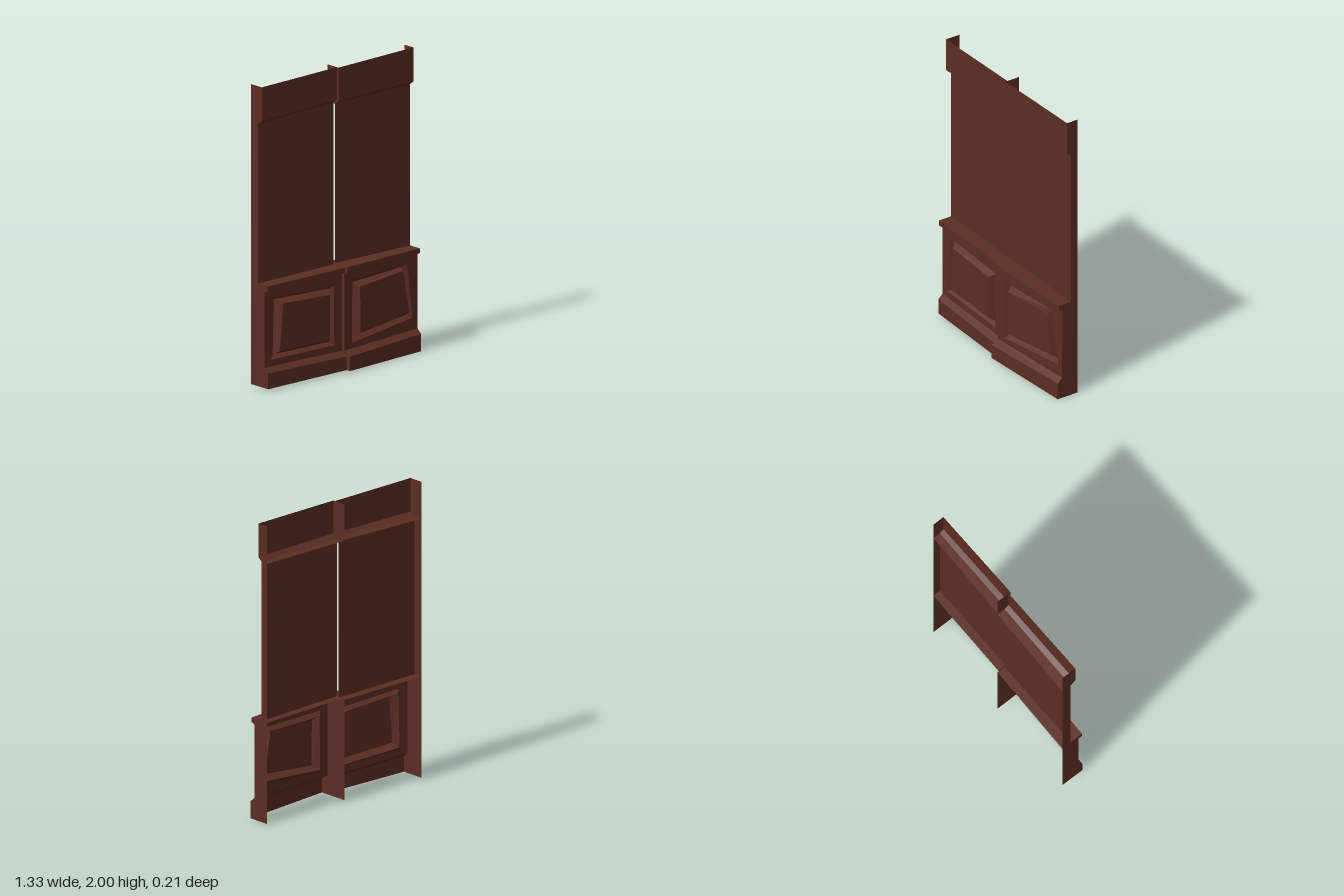
import * as THREE from 'three';

const wood = new THREE.MeshStandardMaterial({ color: 0x5c2d23, side: THREE.DoubleSide });
wood.name = 'dark red wood';
wood.flatShading = true;

// Mesh from four-cornered faces
function quadMesh(name, quads) {
  const pos = [];
  for (const [a, b, c, d] of quads) for (const p of [a, b, c, a, c, d]) pos.push(...p);
  const geo = new THREE.BufferGeometry();
  geo.setAttribute('position', new THREE.Float32BufferAttribute(pos, 3));
  geo.computeVertexNormals();
  const mesh = new THREE.Mesh(geo, wood);
  mesh.name = name;
  return mesh;
}

// Flat plate across the depth at x, running from the front profile to the back edge
function sidePlate(name, profile, back) {
  const x = profile[0][0];
  const pts = profile.map(([, y, z]) => new THREE.Vector2(z, y));
  pts.push(new THREE.Vector2(back, pts[pts.length - 1].y), new THREE.Vector2(back, pts[0].y));
  const geo = new THREE.ShapeGeometry(new THREE.Shape(pts)).toNonIndexed();
  const p = geo.attributes.position;
  for (let i = 0; i < p.count; i++) p.setXYZ(i, x, p.getY(i), p.getX(i));
  geo.computeVertexNormals();
  const mesh = new THREE.Mesh(geo, wood);
  mesh.name = name;
  return mesh;
}

// Front sheet between two profiles, listed left to right
function strip(name, A, B) {
  const quads = [];
  for (let i = 0; i + 1 < A.length; i++) quads.push([A[i], A[i + 1], B[i + 1], B[i]]);
  return quadMesh(name, quads);
}

// Each profile runs from the top down as [y, z]; the two ends are slightly crooked
const halves = [
  {
    name: 'left', x: [-0.663, 0], back: -0.108,
    ends: [
      [[2, -0.005], [1.775, -0.005], [1.75, -0.042], [0.69, -0.042], [0.69, 0.05], [0.655, 0.05],
        [0.645, 0.022], [0.145, 0.022], [0.115, 0.055], [0.01, 0.055]],
      [[2, -0.018], [1.785, -0.018], [1.762, -0.05], [0.685, -0.05], [0.685, 0.056], [0.65, 0.056],
        [0.64, 0.03], [0.13, 0.03], [0.1, 0.073], [0.01, 0.073]],
    ],
    // panel rings: opening, floor, raised field (corners TL, BL, BR, TR)
    rings: [
      [[-0.585, 0.595], [-0.61, 0.188], [-0.066, 0.178], [-0.071, 0.575]],
      [[-0.557, 0.574], [-0.57, 0.209], [-0.092, 0.2], [-0.092, 0.553]],
      [[-0.521, 0.548], [-0.547, 0.236], [-0.119, 0.228], [-0.119, 0.526]],
    ],
  },
  {
    name: 'right', x: [0, 0.663], back: -0.1,
    ends: [
      [[2, -0.003], [1.78, -0.003], [1.752, -0.038], [0.695, -0.038], [0.695, 0.083], [0.66, 0.083],
        [0.645, 0.055], [0.135, 0.055], [0.105, 0.105], [0.01, 0.105]],
      [[2, -0.018], [1.775, -0.018], [1.75, -0.048], [0.68, -0.048], [0.68, 0.046], [0.65, 0.046],
        [0.638, 0.02], [0.145, 0.02], [0.115, 0.055], [0, 0.055]],
    ],
    rings: [
      [[0.061, 0.59], [0.066, 0.172], [0.622, 0.225], [0.569, 0.595]],
      [[0.097, 0.563], [0.094, 0.203], [0.598, 0.247], [0.545, 0.572]],
      [[0.125, 0.537], [0.13, 0.23], [0.574, 0.277], [0.517, 0.56]],
    ],
  },
];

function buildHalf({ name, x, back, ends, rings }) {
  const g = new THREE.Group();
  g.name = name + 'WallSection';
  const [A, B] = ends.map((e, i) => e.map(([y, z]) => [x[i], y, z]));

  g.add(
    strip('upperBoard', A.slice(0, 3), B.slice(0, 3)),
    strip('middleBoard', A.slice(2, 4), B.slice(2, 4)),
    strip('chairRail', A.slice(3, 7), B.slice(3, 7)),
    strip('skirting', A.slice(7), B.slice(7)),
  );

  // Ledges closing the middle section above and below
  for (const [label, i] of [['upperLedge', 2], ['lowerLedge', 3]]) {
    const a = A[i], b = B[i];
    g.add(quadMesh(label, [[a, b, [b[0], b[1], back], [a[0], a[1], back]]]));
  }

  // Frame with a crooked sunk panel and a raised field
  const frameZ = (px) => THREE.MathUtils.mapLinear(px, x[0], x[1], A[6][2], B[6][2]);
  const depth = [0, -0.028, 0.016];
  const loops = [
    [A[6], A[7], B[7], B[6]],
    ...rings.map((r, k) => r.map(([px, py]) => [px, py, frameZ(px) + depth[k]])),
  ];
  const partNames = ['panelFrame', 'panelRecess', 'panelBevel'];
  partNames.forEach((part, k) => {
    const quads = [];
    for (let i = 0; i < 4; i++) {
      const j = (i + 1) % 4;
      quads.push([loops[k][i], loops[k][j], loops[k + 1][j], loops[k + 1][i]]);
    }
    g.add(quadMesh(part, quads));
  });
  g.add(quadMesh('panelField', [loops[3]]));

  // Full plate at the outer end, dividers at the centre for the upper and lower parts
  const [outer, inner] = name === 'left' ? [A, B] : [B, A];
  g.add(
    sidePlate('endPlate', outer, back),
    sidePlate('upperDivider', inner.slice(0, 3), back),
    sidePlate('lowerDivider', inner.slice(3), back),
  );
  return g;
}

export function createModel() {
  const model = new THREE.Group();
  model.name = 'panelledWall';
  for (const half of halves) model.add(buildHalf(half));
  return model;
}
